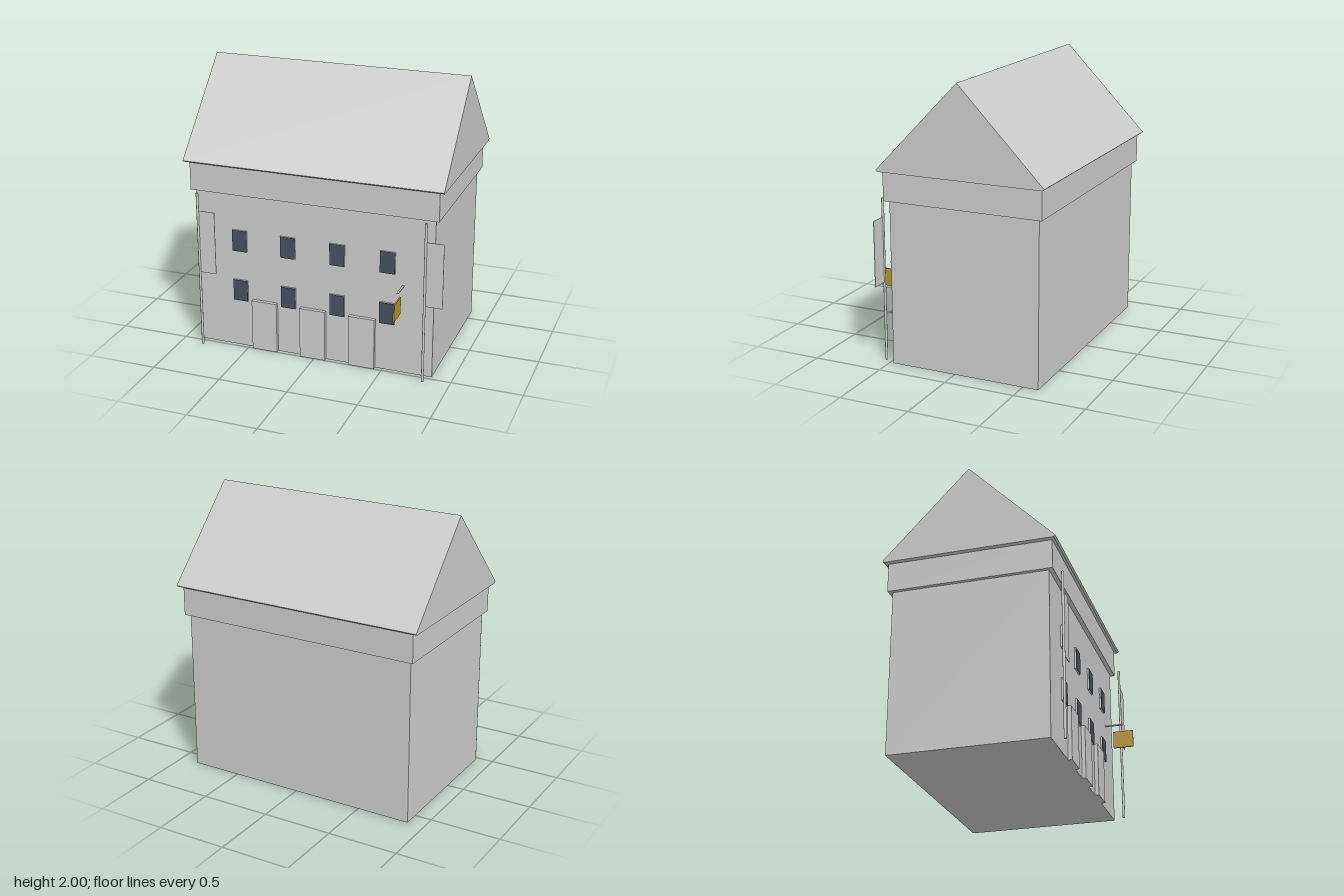
import * as THREE from 'three';

export function createModel() {
  const model = new THREE.Group();
  model.name = 'townHouse';

  const material = (name, color) => {
    const m = new THREE.MeshStandardMaterial({ color });
    m.name = name;
    return m;
  };
  const plaster = material('pale grey plaster', 0xcccccc);
  const glass = material('dark blue glass', 0x43515f);
  const gold = material('gold paint', 0xb5942e);

  const add = (name, geometry, mat, parent = model) => {
    const mesh = new THREE.Mesh(geometry, mat);
    mesh.name = name;
    parent.add(mesh);
    return mesh;
  };
  // Box given by its lower and upper limits on each axis
  const box = (name, mat, [x0, x1], [y0, y1], [z0, z1], parent) => {
    const mesh = add(name, new THREE.BoxGeometry(x1 - x0, y1 - y0, z1 - z0), mat, parent);
    mesh.position.set((x0 + x1) / 2, (y0 + y1) / 2, (z0 + z1) / 2);
    return mesh;
  };

  // Main walls and the overhanging upper band
  box('walls', plaster, [-0.88, 0.856], [0, 1.16], [-0.613, 0.472]);
  box('upperBand', plaster, [-0.907, 0.885], [1.16, 1.368], [-0.642, 0.503]);

  // Gabled roof: a triangular profile with a thin bevelled eave, drawn as (-z, y)
  const gable = new THREE.Shape([
    [-0.522, 1.366], [0.66, 1.366], [0.673, 1.377], [0.069, 2], [-0.535, 1.377],
  ].map(([u, v]) => new THREE.Vector2(u, v)));
  const roof = new THREE.ExtrudeGeometry(gable, { depth: 1.864, bevelEnabled: false });
  roof.rotateY(Math.PI / 2).translate(-0.943, 0, 0);
  add('roof', roof, plaster);

  // Two rows of four windows: raised frame with a thin pane on its face
  for (const y of [0.434, 0.812]) {
    for (let i = 0; i < 4; i++) {
      const x = -0.557 + i * 0.362;
      const windowGroup = new THREE.Group();
      windowGroup.name = 'window';
      model.add(windowGroup);
      box('windowFrame', plaster, [x - 0.054, x + 0.054], [y - 0.079, y + 0.079], [0.465, 0.482], windowGroup);
      box('windowPane', glass, [x - 0.053, x + 0.053], [y - 0.078, y + 0.078], [0.481, 0.486], windowGroup);
    }
  }

  // Three doors along the ground
  for (let i = 0; i < 3; i++) {
    const x = -0.374 + i * 0.3625;
    box('door', plaster, [x - 0.094, x + 0.094], [0, 0.375], [0.465, 0.499]);
  }

  // Flagpoles with flat banners flying toward +x
  for (const x of [-0.836, 0.812]) {
    const flag = new THREE.Group();
    flag.name = 'flag';
    model.add(flag);
    const pole = add('flagPole', new THREE.CylinderGeometry(0.009, 0.009, 1.16, 12), plaster, flag);
    pole.position.set(x, 0.58, 0.551);
    box('banner', plaster, [x + 0.004, x + 0.126], [0.565, 1.028], [0.549, 0.553], flag);
  }

  // Hanging sign and its bracket rod
  box('signBracket', plaster, [0.633, 0.647], [0.65, 0.657], [0.47, 0.6]);
  box('signBoard', gold, [0.633, 0.643], [0.475, 0.6], [0.532, 0.677]);

  return model;
}
